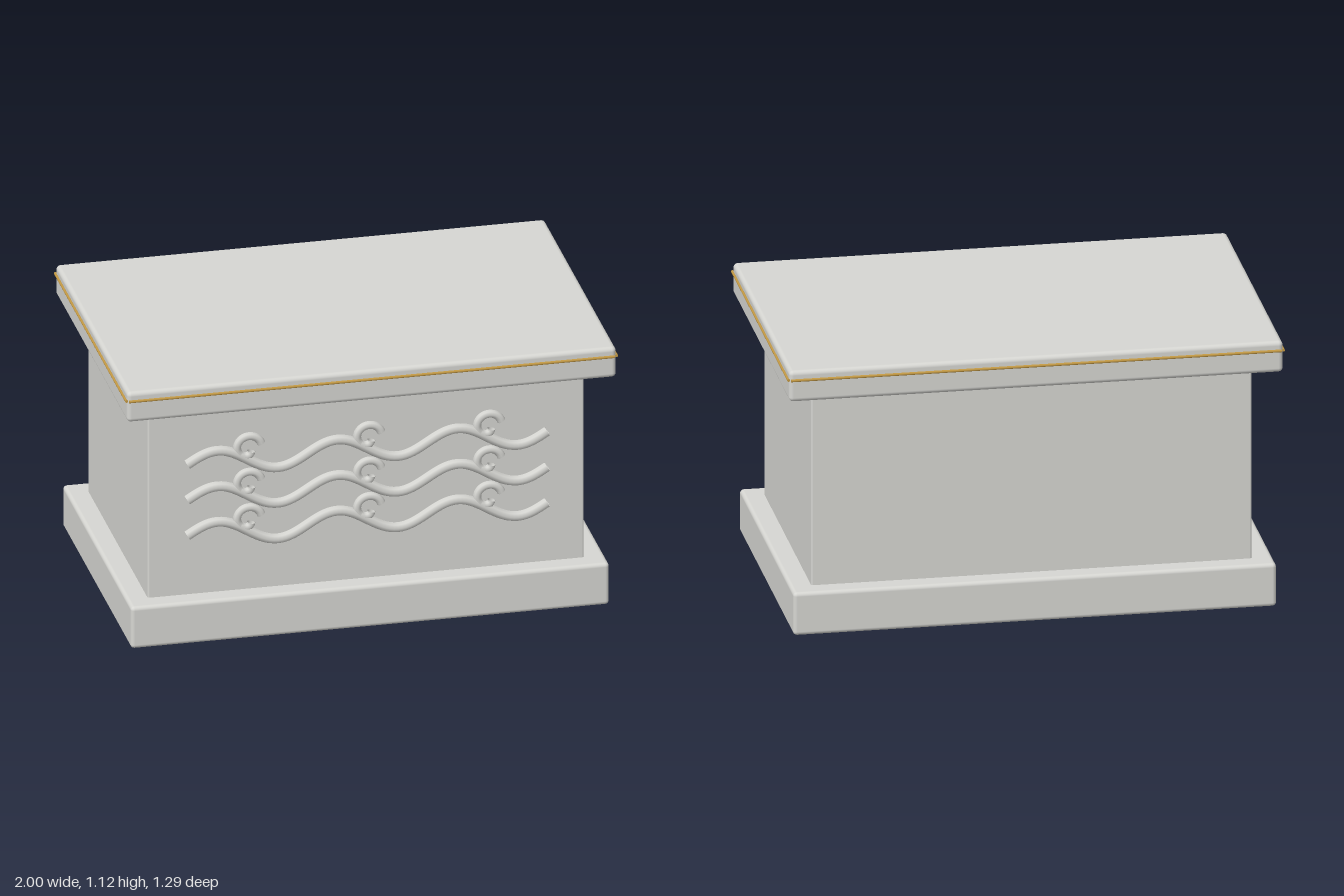
import * as THREE from 'three';
import { RoundedBoxGeometry } from 'three/addons/geometries/RoundedBoxGeometry.js';

export function createModel() {
  const group = new THREE.Group();
  group.name = 'altarBlock';
  const stone = new THREE.MeshStandardMaterial({ color: 0xd6d6d2, side: THREE.DoubleSide });
  stone.name = 'paleStone';
  const gold = new THREE.MeshStandardMaterial({ color: 0xc49a45 });
  gold.name = 'gold';

  const add = (name, geometry, material, x = 0, y = 0, z = 0) => {
    const mesh = new THREE.Mesh(geometry, material);
    mesh.name = name;
    mesh.position.set(x, y, z);
    group.add(mesh);
    return mesh;
  };

  // Stacked slab, block and lid: width, depth, bottom, top, edge radius
  const slab = (name, w, d, y0, y1, r) =>
    add(name, new RoundedBoxGeometry(w, y1 - y0, d, 3, r), stone, 0, (y0 + y1) / 2, 0);
  slab('plinth', 1.94, 1.224, 0, 0.18, 0.016);
  slab('body', 1.77, 1.064, 0.165, 1.01, 0.008);
  slab('lid', 1.984, 1.28, 0.995, 1.125, 0.018);

  // Gold trim rods around the lid
  for (const s of [-1, 1]) {
    const name = s > 0 ? ['frontTrim', 'leftTrim'] : ['backTrim', 'rightTrim'];
    add(name[0], new THREE.CylinderGeometry(0.006, 0.006, 1.97, 8), gold, 0, 1.087, s * 0.641).rotation.z = Math.PI / 2;
    add(name[1], new THREE.CylinderGeometry(0.006, 0.006, 1.27, 8), gold, s * 0.994, 1.087, 0).rotation.x = Math.PI / 2;
  }

  // Wave relief: a three-period sine with a curl at each falling slope
  const wavePoints = [];
  for (let i = 0; i <= 48; i++) {
    const t = i / 48;
    wavePoints.push(new THREE.Vector3(-0.73 + 1.46 * t, 0.048 * Math.sin(t * Math.PI * 6), 0));
  }
  const waveGeometry = new THREE.TubeGeometry(new THREE.CatmullRomCurve3(wavePoints), 96, 0.021, 8);

  const curlPoints = [];
  for (let i = 0; i <= 18; i++) {
    const t = i / 18;
    const a = 0.35 + t * Math.PI * 1.6;
    const r = 0.054 - 0.038 * t ** 3;
    curlPoints.push(new THREE.Vector3(r * Math.cos(a), r * Math.sin(a), 0));
  }
  const curlGeometry = new THREE.TubeGeometry(new THREE.CatmullRomCurve3(curlPoints), 32, 0.017, 8);

  for (let row = 0; row < 3; row++) {
    const y = 0.445 + row * 0.154;
    add('wave' + (row + 1), waveGeometry, stone, 0, y, 0.556);
    for (let k = -1; k <= 1; k++) {
      add('waveCurl', curlGeometry, stone, k * 0.487 + 0.006, y + 0.046, 0.558);
    }
  }
  return group;
}
